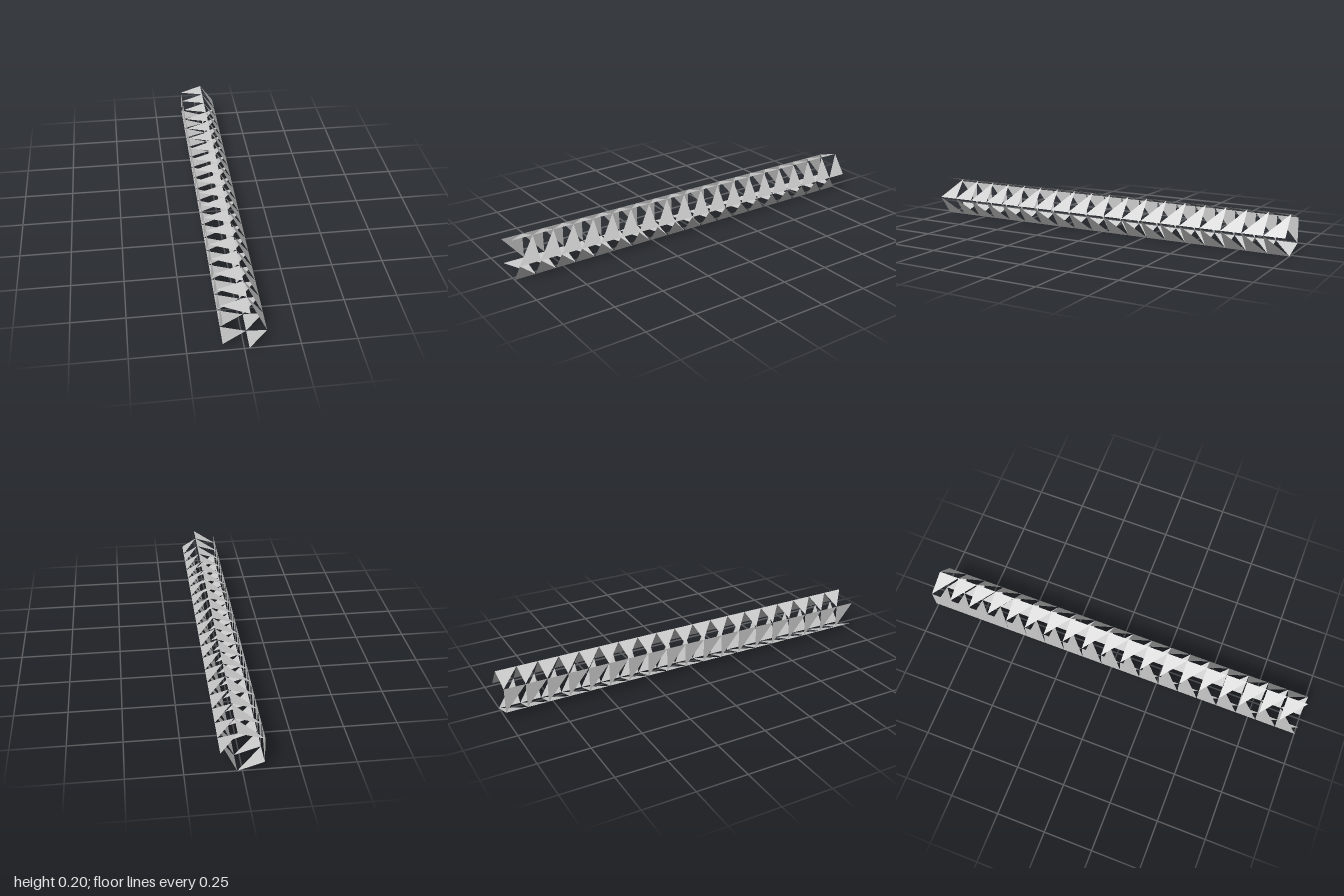
import * as THREE from 'three';

const SIDES = 5, SEGMENTS = 19, LENGTH = 2;
const STEP = LENGTH / SEGMENTS;
const R = STEP; // pentagon radius equals one segment
const CX = -R * (1 + Math.cos(Math.PI * 4 / 5)) / 2; // centres the width on x = 0
const CY = R * Math.sin(Math.PI * 2 / 5); // rests the lowest corners on y = 0

// Corner i of the pentagon at depth z
function corner(i, z) {
  const a = (i % SIDES) * Math.PI * 2 / SIDES;
  return [CX + R * Math.cos(a), CY + R * Math.sin(a), z];
}

// One side of the tube: a row of triangles, each filling half of its square
function sideStrip(i, material) {
  const positions = [];
  for (let s = 0; s < SEGMENTS; s++) {
    const back = -LENGTH / 2 + s * STEP, front = back + STEP;
    if (i < SIDES - 1) {
      positions.push(...corner(i, front), ...corner(i, back), ...corner(i + 1, back));
    } else {
      // closing side: the half with its full edge towards the front
      positions.push(...corner(i, back), ...corner(i + 1, front), ...corner(i, front));
    }
  }
  const geometry = new THREE.BufferGeometry();
  geometry.setAttribute('position', new THREE.Float32BufferAttribute(positions, 3));
  geometry.computeVertexNormals();
  return new THREE.Mesh(geometry, material);
}

export function createModel() {
  const group = new THREE.Group();
  group.name = 'pentagonalTube';
  const material = new THREE.MeshStandardMaterial({
    color: 0xcccccc, flatShading: true, side: THREE.DoubleSide,
  });
  const names = ['upperLeftStrip', 'upperRightStrip', 'rightStrip', 'lowerRightStrip', 'lowerLeftStrip'];
  names.forEach((name, i) => {
    const strip = sideStrip(i, material);
    strip.name = name;
    group.add(strip);
  });
  return group;
}
